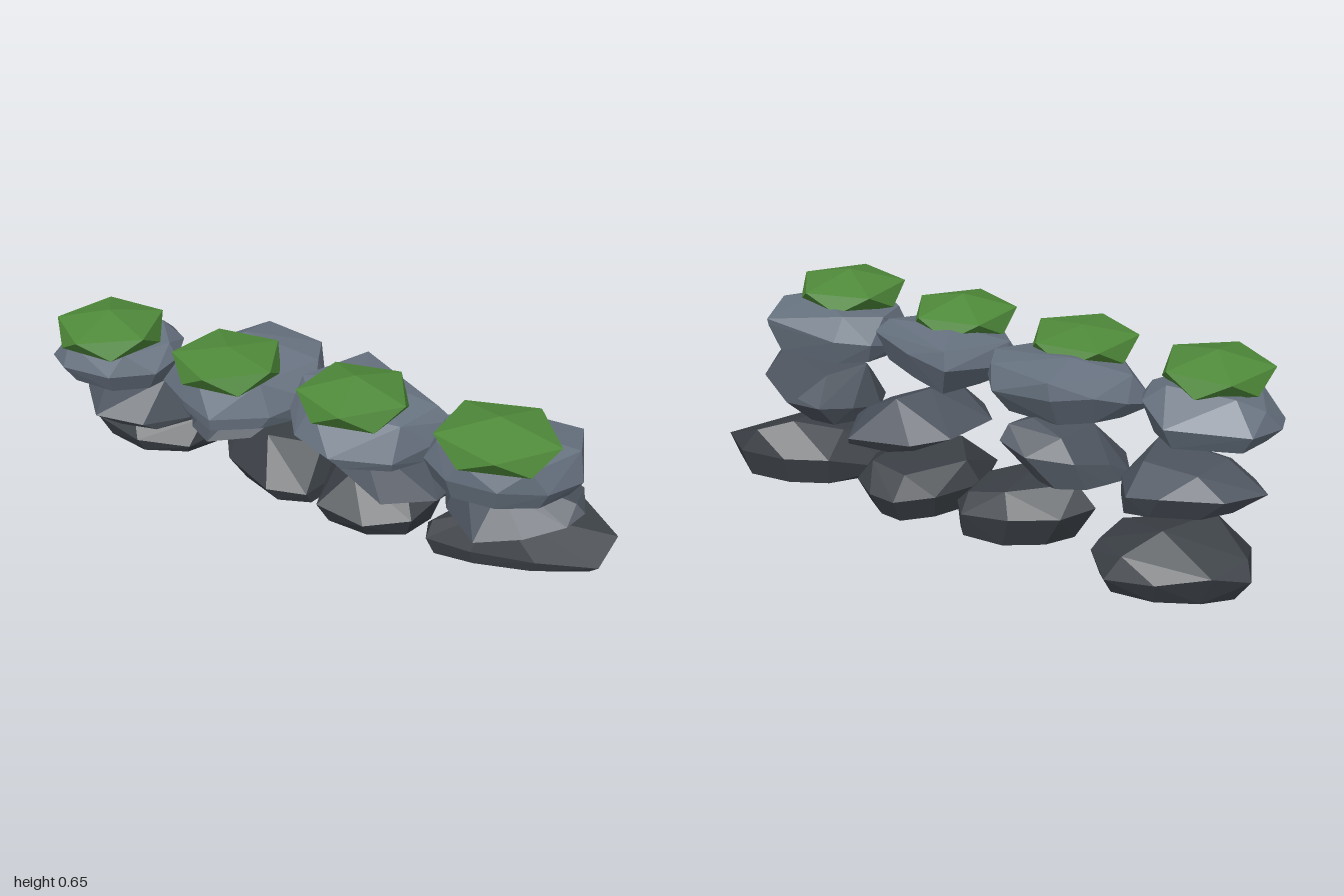
import * as THREE from 'three';
import { ConvexGeometry } from 'three/addons/geometries/ConvexGeometry.js';

const stone = (color) => new THREE.MeshStandardMaterial({ color, flatShading: true, roughness: 0.9 });
const lower = stone(0x3b4046), middle = stone(0x4d545e), upper = stone(0x677280);
const green = stone(0x4f8a3a);

export function createModel() {
  const group = new THREE.Group();

  const add = (name, points, material) => {
    const mesh = new THREE.Mesh(new ConvexGeometry(points), material);
    mesh.name = name;
    group.add(mesh);
  };

  // A faceted stone: widest rim, crown points above, and a flat foot shrunk from the rim and shifted
  const rock = (name, material, y0, scale, [dx, dz], rim, crown) => {
    const pts = [...rim, ...crown].map((p) => new THREE.Vector3(...p));
    const cx = rim.reduce((s, p) => s + p[0], 0) / rim.length;
    const cz = rim.reduce((s, p) => s + p[2], 0) / rim.length;
    for (const [x, , z] of rim) {
      pts.push(new THREE.Vector3(cx + dx + (x - cx) * scale, y0, cz + dz + (z - cz) * scale));
    }
    add(name, pts, material);
  };

  // Bottom course
  rock('bottomStone1', lower, 0.008, 0.85, [0.01, 0.01],
    [[-1, .09, -.19], [-.91, .12, -.28], [-.76, .09, -.355], [-.6, .07, -.37], [-.51, .1, -.28],
      [-.49, .06, -.15], [-.55, .04, -.02], [-.72, .06, .06], [-.92, .08, .02]],
    [[-.97, .14, -.15], [-.82, .21, -.05], [-.72, .2, -.22], [-.64, .145, -.335], [-.52, .125, -.24], [-.53, .13, -.1]]);
  rock('bottomStone2', lower, 0.005, 0.84, [0.03, 0],
    [[-.43, .13, -.09], [-.36, .12, -.2], [-.22, .12, -.29], [-.05, .1, -.3], [0, .11, -.24],
      [.01, .05, -.1], [-.02, .05, .05], [-.15, .06, .1], [-.35, .08, .02]],
    [[-.36, .2, -.09], [-.2, .21, 0], [-.18, .19, -.24], [-.05, .16, -.25], [-.04, .165, -.1]]);
  rock('bottomStone3', lower, 0.005, 0.82, [0, 0.01],
    [[0, .1, -.09], [.08, .1, -.25], [.18, .1, -.35], [.28, .1, -.34], [.38, .1, -.27],
      [.42, .11, -.1], [.38, .08, .05], [.24, .06, .13], [.06, .08, .12]],
    [[.05, .18, -.1], [.15, .19, .03], [.3, .19, -.05], [.32, .18, -.26], [.18, .17, -.28]]);
  rock('bottomStone4', lower, 0, 0.9, [0, 0.005],
    [[.4, .03, -.04], [.54, .1, -.22], [.68, .1, -.29], [.85, .1, -.31], [1, .085, -.2],
      [.98, .02, -.09], [.8, .04, .01], [.6, .05, .07], [.45, .06, .085]],
    [[.46, .12, .06], [.56, .165, -.1], [.66, .205, .01], [.7, .205, -.2], [.8, .18, -.28]]);

  // Middle course
  rock('middleStone1', middle, 0.205, 0.78, [0.05, 0],
    [[-.97, .3, -.02], [-.88, .3, -.14], [-.7, .3, -.22], [-.6, .29, -.24], [-.52, .28, -.1],
      [-.49, .22, .05], [-.58, .24, .2], [-.75, .25, .24], [-.88, .27, .11]],
    [[-.82, .365, .02], [-.57, .36, .07], [-.6, .36, -.12], [-.78, .355, -.12]]);
  rock('middleStone2', middle, 0.21, 0.62, [-0.06, -0.03],
    [[-.49, .225, .03], [-.45, .27, -.04], [-.38, .3, -.15], [-.24, .32, -.22], [-.13, .34, -.19],
      [-.11, .34, -.02], [-.18, .28, .14], [-.33, .24, .18], [-.43, .24, .12]],
    [[-.36, .37, .02], [-.2, .4, -.1], [-.14, .385, -.15], [-.22, .385, .05], [-.32, .37, -.13]]);
  rock('middleStone3', middle, 0.205, 0.65, [0.08, -0.04],
    [[.01, .3, 0], [.06, .29, -.18], [.17, .27, -.26], [.4, .25, -.285], [.51, .23, -.08],
      [.49, .23, .1], [.35, .24, .22], [.12, .28, .13]],
    [[.22, .385, -.05], [.2, .37, .08], [.45, .28, -.1], [.28, .38, -.17]]);
  rock('middleStone4', middle, 0.205, 0.7, [-0.05, 0],
    [[.48, .23, .02], [.5, .27, -.12], [.57, .29, -.22], [.7, .29, -.23], [.9, .3, -.1],
      [.96, .32, .06], [.93, .3, .13], [.82, .26, .2], [.68, .23, .25], [.53, .23, .12]],
    [[.55, .37, .04], [.7, .38, .07], [.93, .345, .06], [.7, .35, .11], [.62, .36, -.1], [.66, .31, -.22]]);

  // Top course
  rock('topStone1', upper, 0.39, 0.8, [0, 0],
    [[-.94, .44, .15], [-.9, .46, 0], [-.65, .47, -.1], [-.53, .5, 0], [-.49, .48, .1],
      [-.51, .46, .2], [-.63, .46, .3], [-.82, .45, .3], [-.92, .44, .23]],
    [[-.9, .51, .1], [-.82, .55, .05], [-.6, .56, .02], [-.52, .53, .1], [-.6, .53, .25], [-.82, .53, .26]]);
  rock('topStone2', upper, 0.388, 0.84, [0, 0.035],
    [[-.51, .42, .16], [-.47, .46, .03], [-.4, .5, -.07], [-.29, .5, -.155], [-.07, .48, -.14],
      [.01, .48, -.03], [.03, .46, .08], [-.06, .43, .21], [-.22, .43, .32], [-.38, .42, .24]],
    [[-.45, .53, .1], [-.28, .59, 0], [-.28, .56, -.155], [-.05, .56, -.11], [0, .56, 0],
      [-.1, .54, .2], [-.36, .54, .2]]);
  rock('topStone3', upper, 0.388, 0.78, [0.03, 0.02],
    [[-.02, .45, .15], [.02, .48, .02], [.1, .51, -.15], [.3, .5, -.07], [.51, .5, .04],
      [.48, .45, .12], [.4, .42, .25], [.22, .43, .33], [.06, .43, .26]],
    [[0, .55, .1], [.12, .565, -.12], [.2, .58, .05], [.46, .55, .06], [.4, .53, .2], [.1, .53, .22]]);
  rock('topStone4', upper, 0.388, 0.86, [0, 0],
    [[.47, .43, .11], [.5, .46, 0], [.6, .48, -.08], [.88, .49, -.085], [.95, .44, .08],
      [.89, .45, .21], [.76, .46, .29], [.6, .46, .3], [.49, .46, .22]],
    [[.5, .54, .08], [.6, .555, -.02], [.8, .565, .1], [.88, .515, -.09], [.93, .54, .07],
      [.84, .53, .24], [.64, .53, .295], [.53, .53, .22]]);

  // Moss caps: squashed twenty-sided tufts, [x, z, x radius, z radius, peak height, turn]
  [[-.7, .18, .18, .185, .645, .3], [-.23, .18, .18, .18, .63, .2],
    [.23, .175, .18, .18, .65, .1], [.71, .18, .195, .185, .65, 0]].forEach(([x, z, rx, rz, peak, turn], i) => {
    const pts = [new THREE.Vector3(x, peak, z), new THREE.Vector3(x, 0.515, z)];
    for (let k = 0; k < 10; k++) {
      const a = turn + (k * Math.PI) / 5;
      const r = k % 2 ? 0.94 : 1.02;
      pts.push(new THREE.Vector3(x + Math.cos(a) * rx * r, k % 2 ? 0.54 : 0.602, z + Math.sin(a) * rz * r));
    }
    add(`mossCap${i + 1}`, pts, green);
  });

  return group;
}
